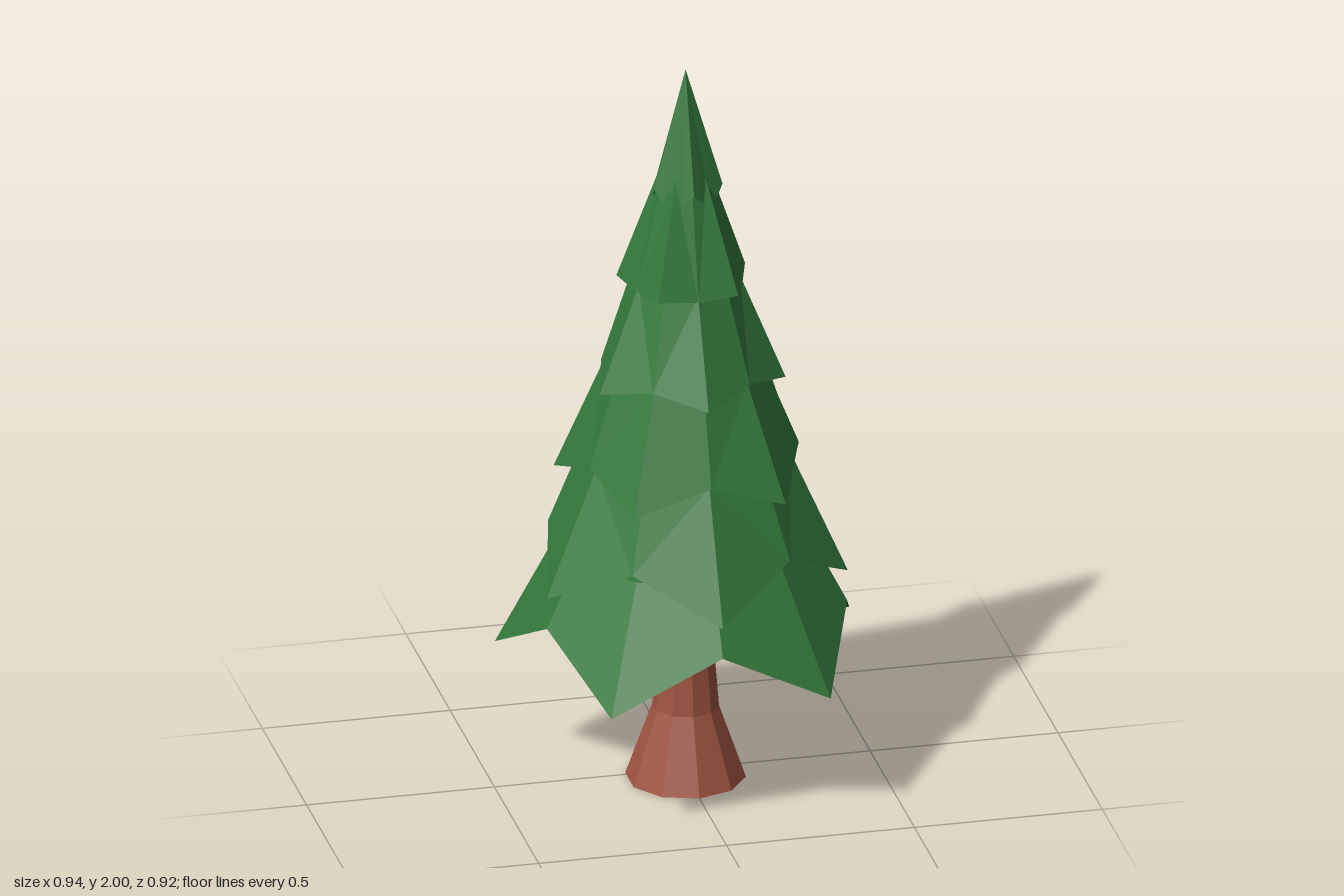
import * as THREE from 'three';

const CENTRE_Z = 0.037;

// One skirt of branches: a five-pointed rim, given as [radius, height] steps
// repeated five times round, joined to a narrower ring above and folded in below.
function branchTier(steps, topR, topY, innerY, turn) {
  const n = steps.length * 5;
  const innerR = Math.min(0.055, steps[0][0] * 0.4);
  const ring = (radius, height) => Array.from({ length: n }, (_, i) => {
    const a = turn + (i / n) * Math.PI * 2;
    return [Math.sin(a) * radius(i), height(i), Math.cos(a) * radius(i)];
  });
  const step = i => steps[i % steps.length];
  const rings = [
    ring(() => 0, () => innerY),
    ring(() => innerR, () => innerY),
    ring(i => step(i)[0], i => step(i)[1]),
    ring(() => topR, () => topY),
    ring(() => 0, () => topY),
  ];
  const pos = [];
  for (let k = 0; k < rings.length - 1; k++) {
    for (let i = 0; i < n; i++) {
      const j = (i + 1) % n;
      const a = rings[k][i], b = rings[k][j], c = rings[k + 1][j], d = rings[k + 1][i];
      // mirror the diagonal on each side of a tip
      const quad = (i % steps.length) < steps.length / 2 ? [a, b, d, b, c, d] : [a, b, c, a, c, d];
      quad.forEach(p => pos.push(...p));
    }
  }
  const g = new THREE.BufferGeometry();
  g.setAttribute('position', new THREE.Float32BufferAttribute(pos, 3));
  g.computeVertexNormals();
  return g;
}

export function createModel() {
  const tree = new THREE.Group();
  tree.name = 'pineTree';
  const bark = new THREE.MeshStandardMaterial({ color: 0xa05542, flatShading: true });
  const needles = new THREE.MeshStandardMaterial({ color: 0x347a3c, flatShading: true, side: THREE.DoubleSide });

  // Trunk with a flared foot
  const profile = [[0, 0], [0.157, 0], [0.087, 0.2], [0.058, 0.56], [0, 0.56]]
    .map(([r, y]) => new THREE.Vector2(r, y));
  const trunk = new THREE.Mesh(new THREE.LatheGeometry(profile, 10), bark);
  trunk.name = 'trunk';
  tree.add(trunk);

  // Branch tiers, bottom to top: rim steps (tip, notch), top radius, top height, underside height
  const tiers = [
    [[[0.496, 0.36], [0.42, 0.51]], 0.33, 0.68, 0.52],
    [[[0.422, 0.595], [0.357, 0.71]], 0.27, 0.93, 0.72],
    [[[0.343, 0.865], [0.29, 0.935]], 0.212, 1.17, 0.95],
    [[[0.26, 1.138], [0.22, 1.17]], 0.142, 1.42, 1.18],
    [[[0.18, 1.41], [0.148, 1.402]], 0.07, 1.71, 1.42],
    // crown with ragged points
    [[[0.096, 1.68], [0.088, 1.652], [0.07, 1.7], [0.088, 1.652]], 0, 2, 1.7],
  ];
  tiers.forEach(([steps, topR, topY, innerY], i) => {
    const turn = i % 2 === 0 ? Math.PI / 5 : 0;
    const tier = new THREE.Mesh(branchTier(steps, topR, topY, innerY, turn), needles);
    tier.name = i === tiers.length - 1 ? 'crown' : `branchTier${i + 1}`;
    tree.add(tier);
  });

  tree.children.forEach(part => { part.position.z = CENTRE_Z; });
  return tree;
}
